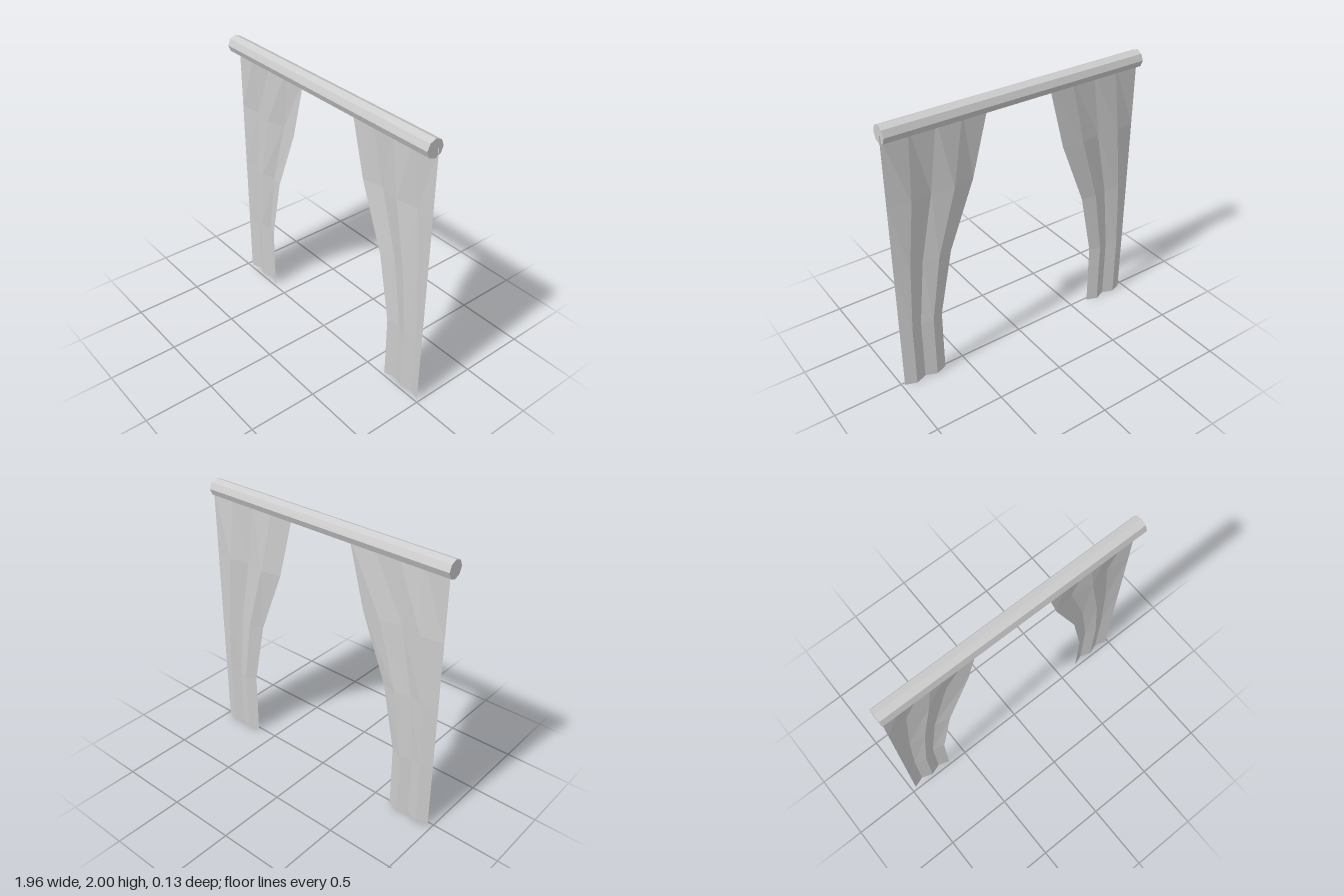
import * as THREE from 'three';

export function createModel() {
  const group = new THREE.Group();
  const grey = new THREE.MeshStandardMaterial({ color: 0xcccccc, flatShading: true, side: THREE.DoubleSide });
  grey.name = 'light grey';

  // Eight-sided rod with a corner at the top
  const rod = new THREE.Mesh(new THREE.CylinderGeometry(0.063, 0.063, 1.955, 8), grey);
  rod.name = 'curtainRod';
  rod.rotation.z = Math.PI / 2;
  rod.position.set(-0.005, 1.937, 0);
  group.add(rod);

  // Rows of a curtain from the hem up: height, width, fold depth
  const rows = [
    [0, 0.325, 0.03],
    [0.485, 0.325, 0.03],
    [0.97, 0.423, 0.03],
    [1.453, 0.613, 0.03],
    [1.937, 0.74, 0],
  ];
  const folds = 4;

  // Pleated sheet gathered towards its outer edge; side is the sign of x
  function curtain(side, outerX, name) {
    const geometry = new THREE.PlaneGeometry(1, 1, folds, rows.length - 1);
    const position = geometry.attributes.position;
    for (let i = 0; i < position.count; i++) {
      const column = i % (folds + 1);
      const [y, width, depth] = rows[rows.length - 1 - Math.floor(i / (folds + 1))];
      const across = side < 0 ? column : folds - column;
      position.setXYZ(i, outerX - side * width * across / folds, y, -0.02 - depth * (column % 2));
    }
    geometry.computeVertexNormals();
    const mesh = new THREE.Mesh(geometry, grey);
    mesh.name = name;
    group.add(mesh);
  }
  curtain(-1, -0.965, 'rightCurtain');
  curtain(1, 0.98, 'leftCurtain');

  return group;
}
